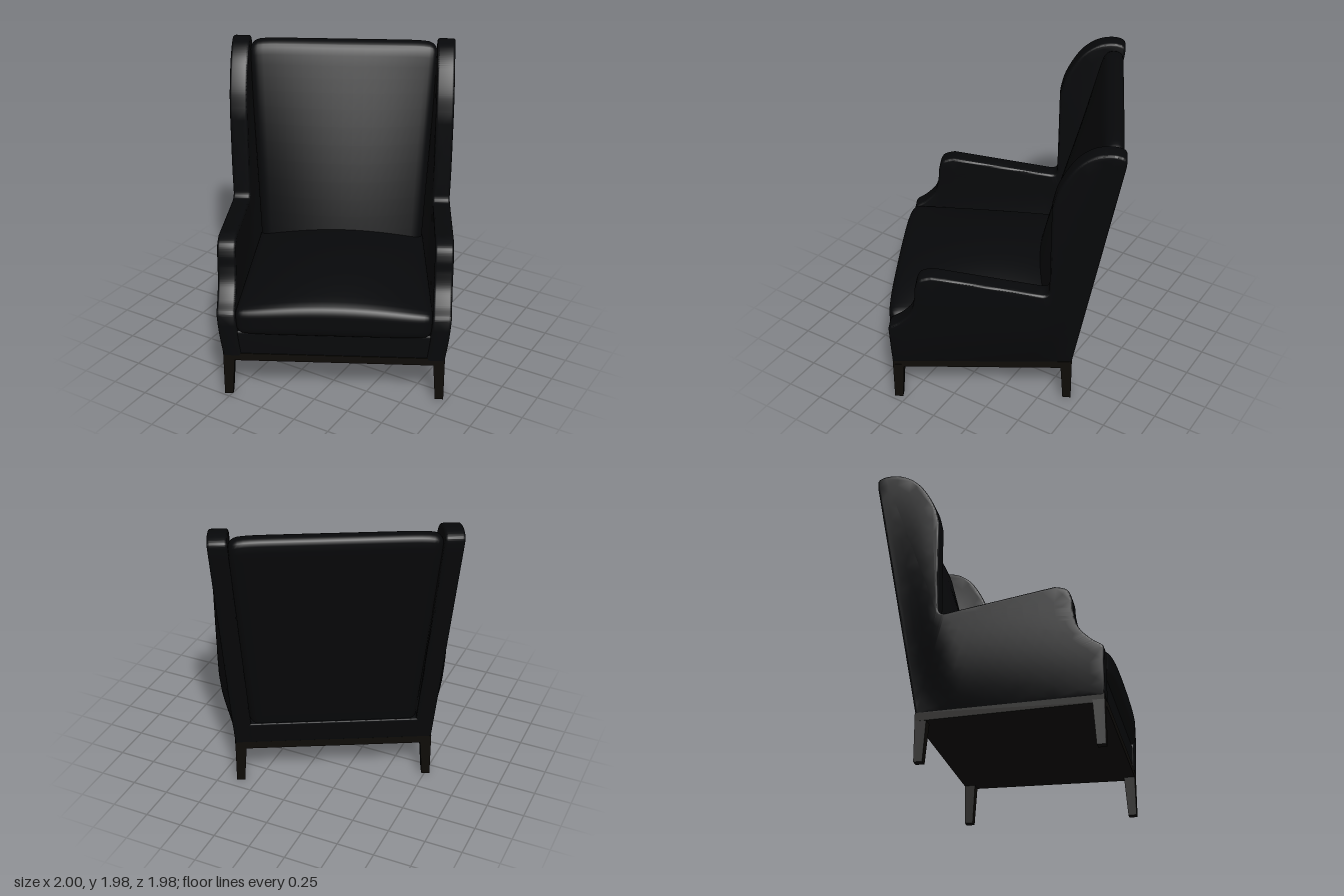
import * as THREE from 'three';
import { mergeVertices, toCreasedNormals } from 'three/addons/utils/BufferGeometryUtils.js';

const T = 0.12; // side panel thickness
const { clamp, smoothstep, lerp } = THREE.MathUtils;

// Raked line of the back, and the flared plane the upholstery fits between
const backZ = (y) => -0.435 - 0.1747 * (y - 0.315);
const flare = (y, z) => 0.655 + 0.072 * (y - 0.315) + 0.0525 * (z + 0.435);

// Outer face of a side panel: straight along wing and arm, tapered down its rear edge
function outer(y, z) {
  const rise = clamp((y - 0.315) / 0.6, 0, 1);
  const front = lerp(flare(0.315, z), 0.752, 1 - (1 - rise) ** 3);
  const rear = flare(y, backZ(y));
  return lerp(rear, front, smoothstep(z - backZ(y), 0, 0.3));
}

const fabric = new THREE.MeshStandardMaterial({ color: 0x07080a });
const wood = new THREE.MeshStandardMaterial({ color: 0x0e0c08 });

function add(group, name, geometry, material) {
  const mesh = new THREE.Mesh(geometry, material);
  mesh.name = name;
  group.add(mesh);
  return mesh;
}

// Move every vertex by rule(v)
function warp(geo, rule) {
  const p = geo.attributes.position;
  const v = new THREE.Vector3();
  for (let i = 0; i < p.count; i++) {
    rule(v.fromBufferAttribute(p, i));
    p.setXYZ(i, v.x, v.y, v.z);
  }
  return geo;
}

// Halve the longest edge of each triangle until all edges are short enough to bend
function subdivide(geo, limit) {
  const p = geo.attributes.position;
  const out = [];
  const split = (a, b, c) => {
    const ab = a.distanceTo(b), bc = b.distanceTo(c), ca = c.distanceTo(a);
    const longest = Math.max(ab, bc, ca);
    if (longest < limit) out.push(a, b, c);
    else if (longest > ab) split(b, c, a);
    else {
      const m = a.clone().lerp(b, 0.5);
      split(a, m, c);
      split(m, b, c);
    }
  };
  const at = (i) => new THREE.Vector3().fromBufferAttribute(p, i);
  for (let i = 0; i < p.count; i += 3) split(at(i), at(i + 1), at(i + 2));
  return new THREE.BufferGeometry().setFromPoints(out);
}

// Rounded block with vertices gathered near its edges, then shaped by a rule.
// The rule gets u (-1..1 across the width) in v.x; x is fitted between the panels.
function upholstery(y0, y1, z0, z1, r, shape) {
  const half = new THREE.Vector3(0.6, (y1 - y0) / 2, (z1 - z0) / 2);
  let geo = new THREE.BoxGeometry(2, 2, 2, 28, 20, 20);
  geo.deleteAttribute('uv');
  geo.deleteAttribute('normal');
  const core = new THREE.Vector3();
  const inner = half.clone().subScalar(r);
  const minusInner = inner.clone().negate();
  warp(geo, (v) => {
    for (const k of ['x', 'y', 'z']) v[k] = Math.sin(v[k] * Math.PI / 2) * half[k];
    core.copy(v).clamp(minusInner, inner);
    v.sub(core).setLength(r).add(core);
    v.x /= half.x;
    v.y += (y0 + y1) / 2;
    v.z += (z0 + z1) / 2;
    shape(v);
    v.x *= flare(v.y, v.z) - T + 0.004;
  });
  geo = mergeVertices(geo, 1e-5);
  geo.computeVertexNormals();
  return geo;
}

// Wing and arm outline, drawn as (z, y)
function sideOutline() {
  const pts = (list) => list.map(([z, y]) => new THREE.Vector2(z, y));
  const s = new THREE.Shape();
  s.moveTo(backZ(0.3), 0.3);
  s.lineTo(0.742, 0.3);
  s.lineTo(0.75, 0.6);
  s.splineThru(pts([[0.735, 0.625], [0.67, 0.67], [0.6, 0.75], [0.573, 0.85],
    [0.565, 0.94], [0.535, 1.01], [0.46, 1.037]]));
  s.lineTo(-0.23, 0.93);
  s.quadraticCurveTo(-0.28, 0.925, -0.28, 0.98);
  s.lineTo(-0.285, 1.58);
  s.splineThru(pts([[-0.315, 1.7], [-0.375, 1.82], [-0.44, 1.905], [-0.52, 1.96],
    [-0.6, 1.98], [-0.67, 1.975], [-0.71, 1.95], [backZ(1.89), 1.89]]));
  s.closePath();
  return s;
}

function sidePanel(side) {
  const b = 0.016;
  const geo = subdivide(new THREE.ExtrudeGeometry(sideOutline(), {
    depth: T - 2 * b, bevelThickness: b, bevelSize: b, bevelOffset: -b,
    bevelSegments: 3, curveSegments: 24,
  }), 0.1);
  warp(geo, (v) => {
    const depth = v.z + b;
    const z = v.x;
    const o = outer(v.y, z);
    v.set(side > 0 ? o - depth : T - o - depth, v.y, z);
  });
  return toCreasedNormals(geo, 0.6);
}

// Leg tapering on its two inner faces; its outer corner stays upright
function leg(sx, sz) {
  const geo = new THREE.BoxGeometry(1, 0.28, 1);
  warp(geo, (v) => {
    const w = v.y > 0 ? 0.074 : 0.055;
    v.x = (v.x - sx / 2) * w;
    v.z = (v.z - sz / 2) * w;
    v.y += 0.14;
  });
  geo.computeVertexNormals();
  return geo;
}

export function createModel() {
  const model = new THREE.Group();
  model.name = 'wingArmchair';
  const chair = new THREE.Group();
  chair.name = 'chair';
  chair.rotation.y = 0.48; // the chair stands turned on the floor
  model.add(chair);

  // Tapered wooden base frame and legs
  const front = { x: 0.715, z: 0.74 };
  const back = { x: 0.655, z: -0.435 };
  const plan = new THREE.Shape([
    new THREE.Vector2(-front.x, -front.z), new THREE.Vector2(front.x, -front.z),
    new THREE.Vector2(back.x, -back.z), new THREE.Vector2(-back.x, -back.z),
  ]);
  const rail = new THREE.ExtrudeGeometry(plan, { depth: 0.053, bevelEnabled: false });
  rail.rotateX(-Math.PI / 2).translate(0, 0.262, 0);
  add(chair, 'baseFrame', rail, wood);
  for (const sx of [-1, 1]) {
    for (const [end, sz] of [[front, 1], [back, -1]]) {
      const name = (sz > 0 ? 'front' : 'back') + (sx > 0 ? 'LeftLeg' : 'RightLeg');
      add(chair, name, leg(sx, sz), wood).position.set(sx * end.x, 0, end.z);
    }
    // Wing and arm in one padded panel
    add(chair, sx > 0 ? 'leftWingAndArm' : 'rightWingAndArm', sidePanel(sx), fabric);
  }

  // Upholstered apron under the seat; its rear follows the rake of the back
  add(chair, 'apron', upholstery(0.3, 0.48, -0.435, 0.735, 0.015, (v) => {
    if (v.z < 0) v.z += backZ(v.y) + 0.435;
    v.x *= 1.06;
  }), fabric);

  // Crowned seat cushion with a slightly bowed front
  add(chair, 'seatCushion', upholstery(0.465, 0.64, -0.42, 0.755, 0.05, (v) => {
    const across = 1 - v.x * v.x;
    const along = 1 - ((v.z - 0.17) / 0.59) ** 2;
    const top = Math.max(0, (v.y - 0.465) / 0.175);
    if (v.z > 0) v.z += 0.025 * (1 - v.x ** 6) * (v.z / 0.755) ** 3;
    v.y += top * across * (0.045 + 0.085 * Math.max(0, along));
    v.x *= 1.02;
  }), fabric);

  // Raked back cushion, fuller towards the seat, with softened top corners
  add(chair, 'backCushion', upholstery(0.4, 1.965, 0, 0.13, 0.06, (v) => {
    const t = v.z / 0.13;
    const drop = 1.965 - v.y;
    const full = Math.sin(Math.min(1, drop / 1.2) * Math.PI / 2);
    const thick = 0.13 + 0.06 * drop + 0.1 * (1 - v.x * v.x) * full;
    v.y -= 0.03 * v.x ** 12 * Math.max(0, 1 - drop / 0.4);
    v.z = backZ(v.y) + 0.013 + t * thick;
  }), fabric);

  return model;
}
